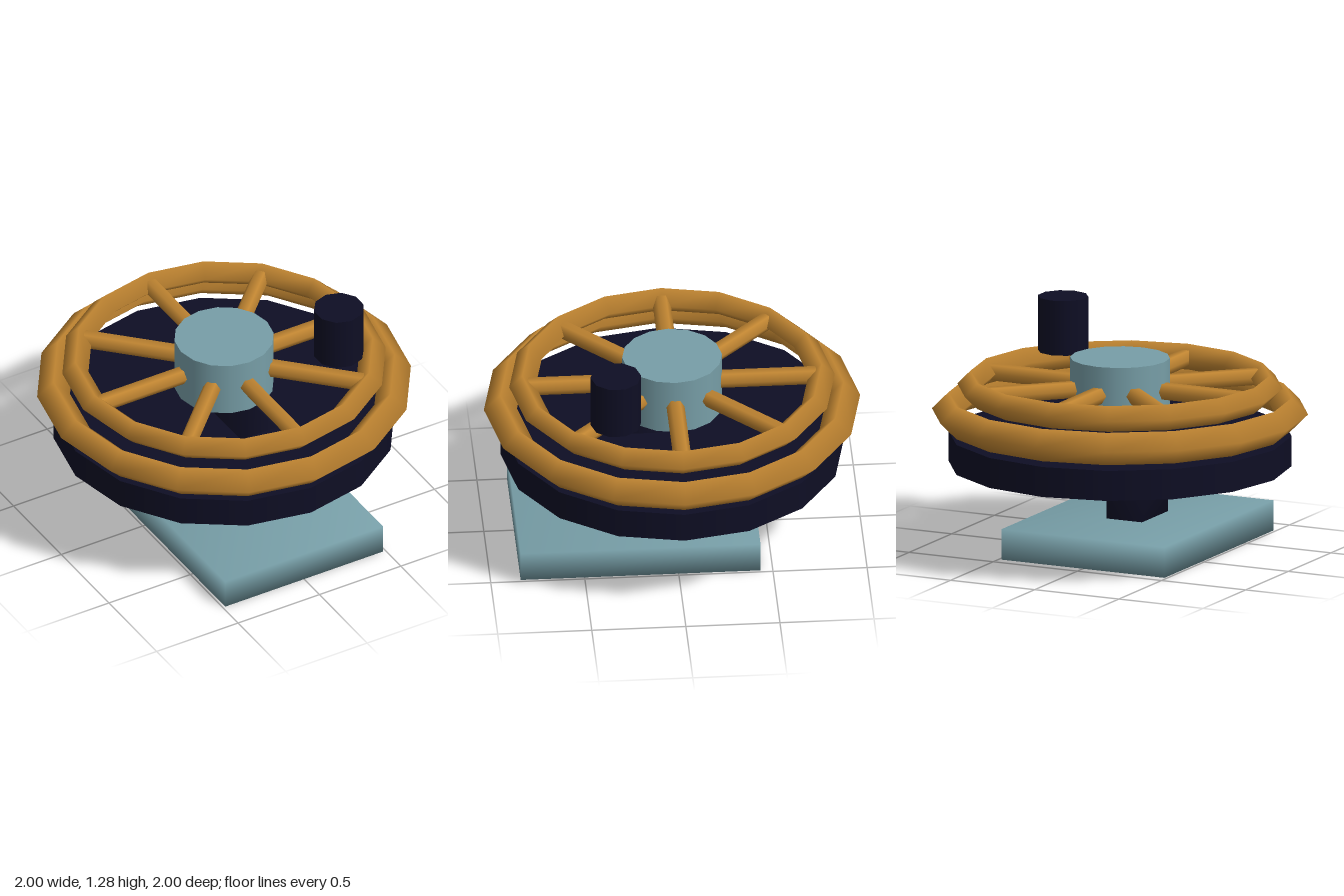
import * as THREE from 'three';
import { mergeVertices } from 'three/addons/utils/BufferGeometryUtils.js';

const material = (name, color) => {
  const m = new THREE.MeshStandardMaterial({ color });
  m.name = name;
  return m;
};

export function createModel() {
  const wood = material('wood', 0xbf8431);
  const steel = material('pale steel', 0x779ea7);
  const dark = material('dark iron', 0x0e0e24);

  const model = new THREE.Group();
  model.name = 'handwheel';

  const add = (name, geometry, mat, x, y, z, parent = model) => {
    const mesh = new THREE.Mesh(geometry, mat);
    mesh.name = name;
    mesh.position.set(x, y, z);
    parent.add(mesh);
    return mesh;
  };

  // Box with normals shared across its corners, for soft shading
  const softBox = (w, h, d) => {
    const g = new THREE.BoxGeometry(w, h, d);
    g.deleteAttribute('normal');
    g.deleteAttribute('uv');
    const merged = mergeVertices(g);
    merged.computeVertexNormals();
    return merged;
  };

  // Foot and column
  add('basePlate', softBox(0.97, 0.165, 1.275), steel, 0, 0.0825, 0.2025);
  add('column', softBox(0.21, 0.5, 0.305), dark, 0, 0.41, 0.2025);

  // Backing disc
  add('disc', new THREE.CylinderGeometry(0.912, 0.912, 0.163, 16), dark, 0, 0.567, 0);

  // Two rims with a diamond section
  const rim = (name, radius, tube, y) => {
    const g = new THREE.TorusGeometry(radius, tube, 4, 16).rotateX(-Math.PI / 2);
    add(name, g, wood, 0, y, 0);
  };
  rim('outerRim', 0.912, 0.088, 0.768);
  rim('innerRim', 0.795, 0.07, 0.905);

  // Hub with eight six-sided spokes
  add('hub', new THREE.CylinderGeometry(0.265, 0.265, 0.31, 16), steel, 0, 0.907, 0);
  const spokes = new THREE.Group();
  spokes.name = 'spokes';
  model.add(spokes);
  const spokeGeometry = new THREE.CylinderGeometry(0.048, 0.048, 0.6, 6)
    .rotateY(Math.PI / 2)
    .rotateX(Math.PI / 2)
    .translate(0, 0, 0.5);
  for (let i = 0; i < 8; i++) {
    add('spoke', spokeGeometry, wood, 0, 0.905, 0, spokes).rotation.y = (i * Math.PI) / 4;
  }

  // Crank knob
  add('knob', new THREE.CylinderGeometry(0.135, 0.135, 0.297, 10), dark, 0.508, 1.128, 0.336);

  return model;
}
